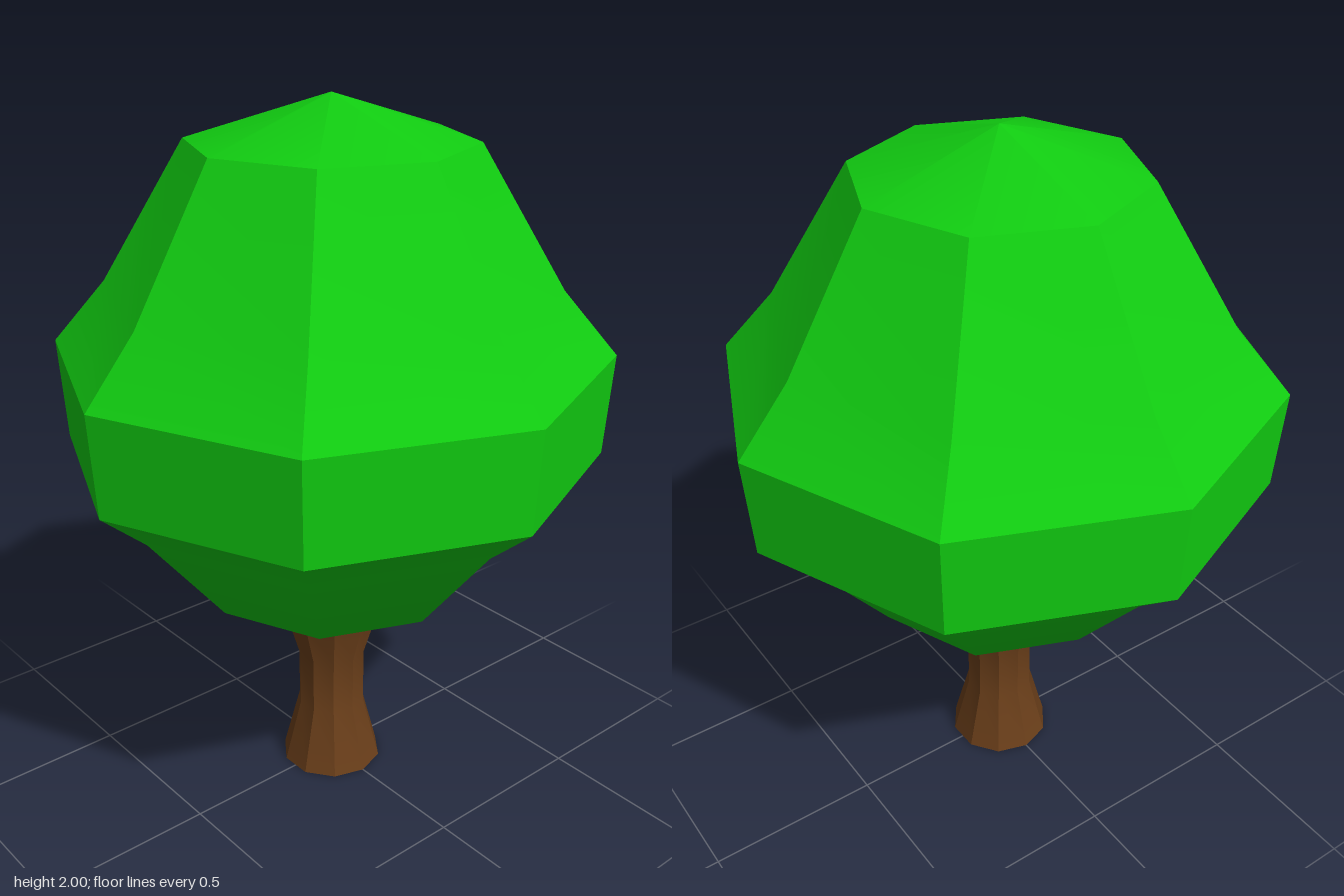
import * as THREE from 'three';
import { mergeGeometries } from 'three/addons/utils/BufferGeometryUtils.js';

const toPoints = (profile) => profile.map(([r, y]) => new THREE.Vector2(r, y));

// Turned band with hard edges between its vertical panels, smooth along each panel
function panelledBand(profile, sides) {
  const step = (Math.PI * 2) / sides;
  const panels = [];
  for (let i = 0; i < sides; i++) {
    const panel = new THREE.LatheGeometry(toPoints(profile), 1, i * step, step);
    panel.computeVertexNormals();
    panels.push(panel);
  }
  return mergeGeometries(panels);
}

// Turned band that is smooth all the way round
const smoothBand = (profile, sides) => new THREE.LatheGeometry(toPoints(profile), sides);

export function createModel() {
  const tree = new THREE.Group();
  tree.name = 'tree';
  const leaf = new THREE.MeshStandardMaterial({ color: 0x11cc11 });
  const bark = new THREE.MeshStandardMaterial({ color: 0x6b3f1a });

  const add = (parent, name, geometry, material) => {
    const mesh = new THREE.Mesh(geometry, material);
    mesh.name = name;
    parent.add(mesh);
    return mesh;
  };

  // Crown: eight-sided, profiles run from bottom to top
  const crown = new THREE.Group();
  crown.name = 'crown';
  tree.add(crown);
  add(crown, 'crownUnderside', smoothBand([[0.14, 0.535], [0.385, 0.63], [0.62, 0.92], [0.752, 1.035]], 8), leaf);
  add(crown, 'crownBelt', panelledBand([[0.752, 1.035], [0.77, 1.32]], 8), leaf);
  add(crown, 'crownShoulders', panelledBand([[0.77, 1.32], [0.62, 1.495], [0.387, 1.88]], 8), leaf);
  add(crown, 'crownCap', smoothBand([[0.387, 1.88], [0, 2]], 8), leaf);

  // Trunk: ten-sided, narrow in the middle
  const trunk = new THREE.Group();
  trunk.name = 'trunk';
  tree.add(trunk);
  add(trunk, 'trunkSides', panelledBand([[0.15, 0], [0.1, 0.195], [0.1, 0.365], [0.15, 0.535]], 10), bark);

  // Flat ends of the trunk
  const disc = new THREE.CircleGeometry(0.15, 10, Math.PI / 2);
  add(trunk, 'trunkBase', disc, bark).rotation.x = Math.PI / 2;
  const top = add(trunk, 'trunkTop', disc, bark);
  top.rotation.x = -Math.PI / 2;
  top.position.y = 0.535;

  return tree;
}
